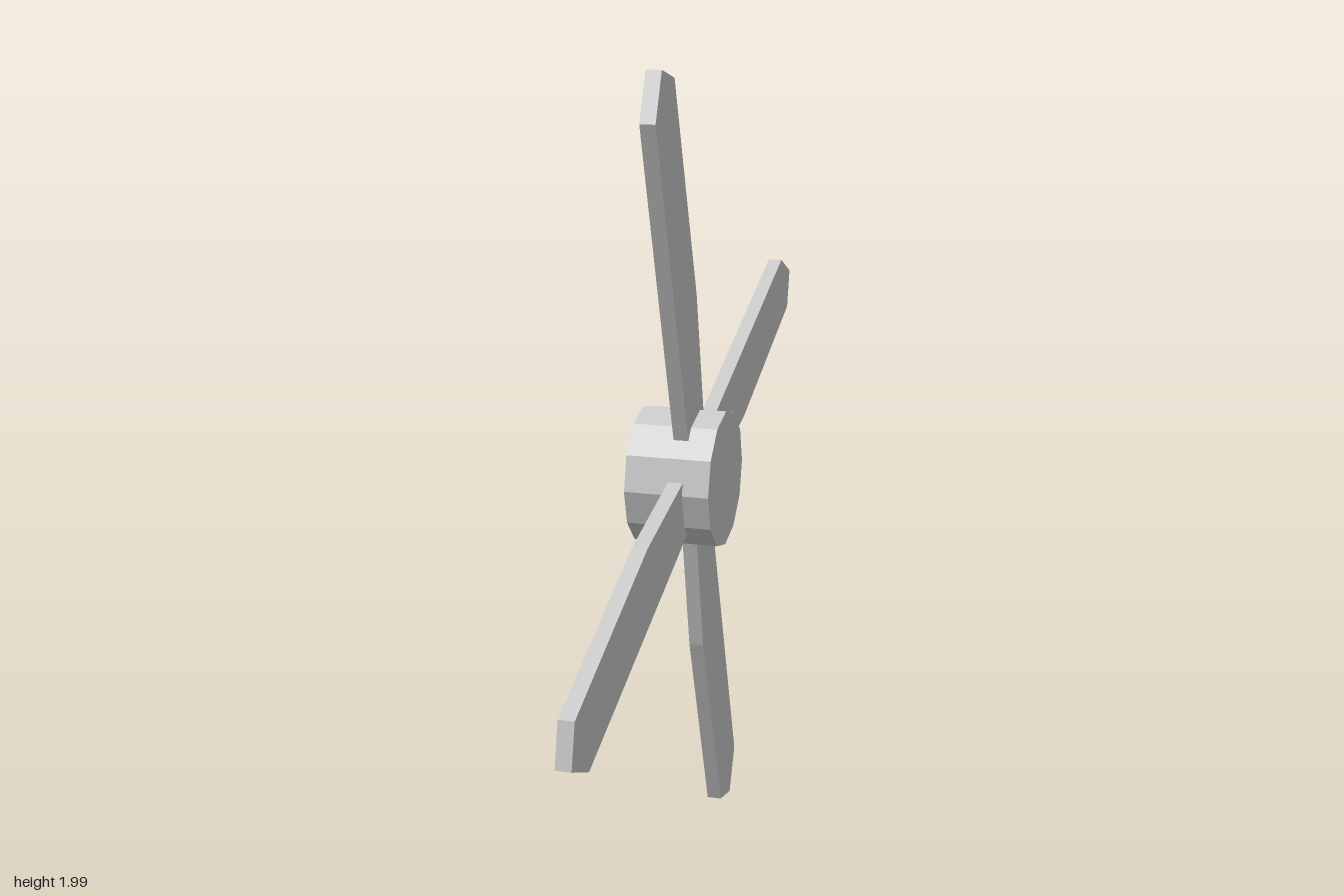
import * as THREE from 'three';

const CENTER_Y = 1.003;

export function createModel() {
  const model = new THREE.Group();
  model.name = 'propeller';
  const grey = new THREE.MeshStandardMaterial({ color: 0xcccccc, flatShading: true });
  grey.name = 'light grey';

  // Twelve-sided hub, axis along x
  const hubGeometry = new THREE.CylinderGeometry(0.168, 0.168, 0.206, 12);
  hubGeometry.rotateZ(-Math.PI / 2);
  const hub = new THREE.Mesh(hubGeometry, grey);
  hub.name = 'hub';
  hub.position.set(-0.002, CENTER_Y, 0);
  model.add(hub);

  // Flat blade outline, bent on one side with a slanted pointed tip
  const outline = new THREE.Shape([
    [0.05, 0.07], [0.03, 0.16], [-0.035, 0.455], [-0.225, 0.972],
    [-0.325, 0.997], [-0.375, 0.887], [-0.11, 0.12], [-0.093, 0.07],
  ].map(([x, y]) => new THREE.Vector2(x, y)));
  const bladeGeometry = new THREE.ExtrudeGeometry(outline, { depth: 0.036, bevelEnabled: false });
  bladeGeometry.rotateY(Math.PI / 2);

  // Four blades around the hub
  for (let i = 0; i < 4; i++) {
    const blade = new THREE.Mesh(bladeGeometry, grey);
    blade.name = `blade${i + 1}`;
    blade.position.set(0.001, CENTER_Y, 0);
    blade.rotation.x = i * Math.PI / 2;
    model.add(blade);
  }
  return model;
}
